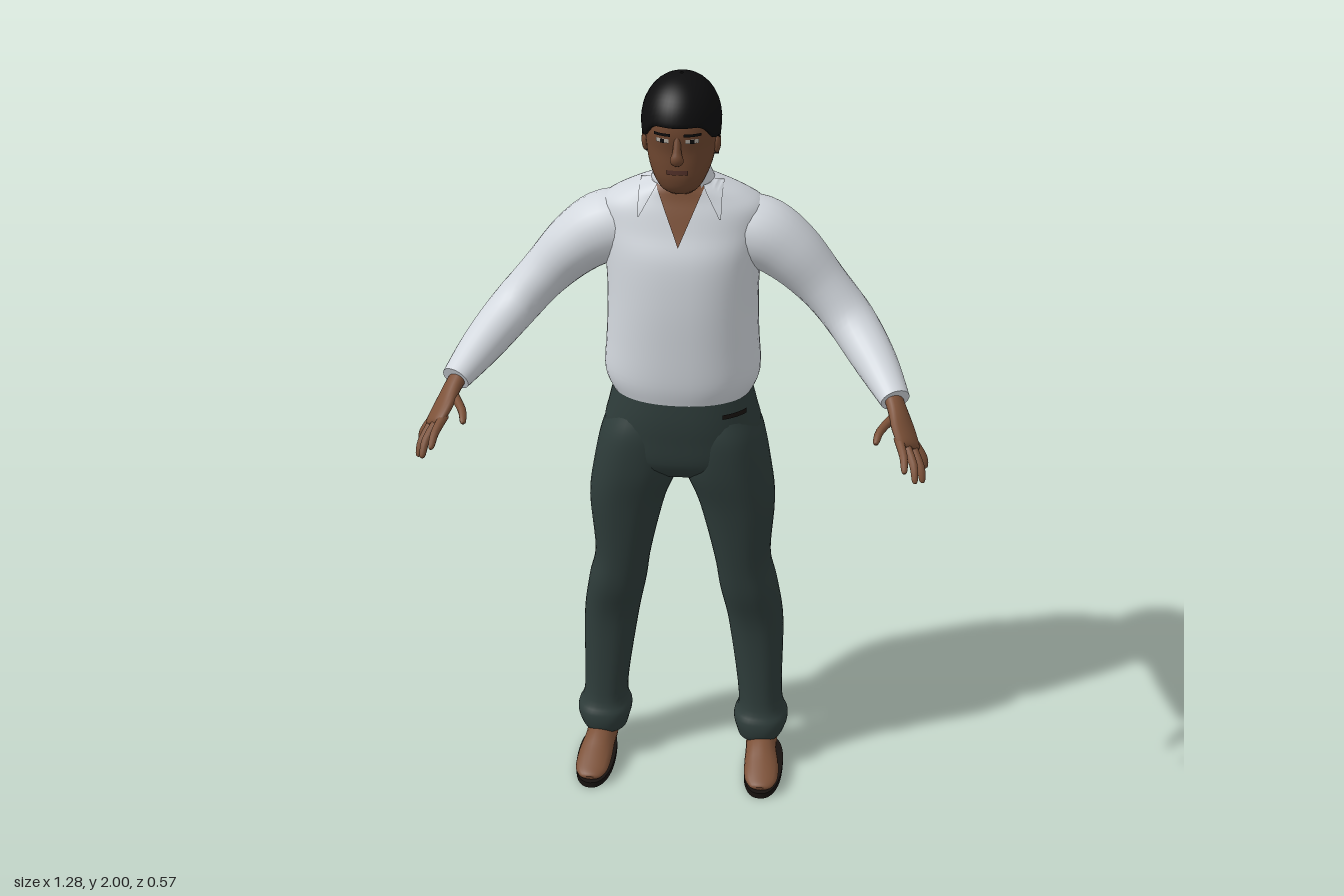
import * as THREE from 'three';

const mat = (name, color, side = THREE.FrontSide) => {
  const m = new THREE.MeshStandardMaterial({ color, side });
  m.name = name;
  return m;
};
const M = {
  shirt: mat('shirt white', 0xd2d7dd, THREE.DoubleSide),
  trousers: mat('trouser green grey', 0x2e3c3a),
  skin: mat('skin brown', 0x7c5138),
  face: mat('face brown', 0x6f4730),
  lip: mat('lip brown', 0x55322a),
  hair: mat('hair black', 0x0d0d0e, THREE.DoubleSide),
  sole: mat('sole black', 0x17120f),
  eye: mat('eye white', 0xb9b2a8),
};

const V = (x, y, z) => new THREE.Vector3(x, y, z);

// Catmull-Rom smoothing of every column of a table of rows
function smooth(rows, n = 5) {
  const out = [];
  const at = (i) => rows[Math.max(0, Math.min(rows.length - 1, i))];
  for (let i = 0; i < rows.length - 1; i++) {
    for (let j = 0; j < n; j++) {
      const t = j / n;
      out.push(rows[i].map((b, k) => {
        const a = at(i - 1)[k], c = at(i + 1)[k], d = at(i + 2)[k];
        return b + 0.5 * t * (c - a + t * (2 * a - 5 * b + 4 * c - d + t * (3 * (b - c) + d - a)));
      }));
    }
  }
  out.push(rows[rows.length - 1]);
  return out;
}

// Skin a list of closed rings; both ends are capped with their own vertices
function loft(name, material, rings, caps = true) {
  const n = rings[0].length, pos = [], idx = [];
  rings.forEach((r) => r.forEach((p) => pos.push(p.x, p.y, p.z)));
  for (let i = 0; i < rings.length - 1; i++) {
    for (let j = 0; j < n; j++) {
      const a = i * n + j, b = i * n + (j + 1) % n;
      idx.push(a, a + n, b, b, a + n, b + n);
    }
  }
  if (caps) {
    [rings[0], rings[rings.length - 1]].forEach((r, end) => {
      const base = pos.length / 3, c = V(0, 0, 0);
      r.forEach((p) => { pos.push(p.x, p.y, p.z); c.addScaledVector(p, 1 / n); });
      pos.push(c.x, c.y, c.z);
      for (let j = 0; j < n; j++) {
        const a = base + j, b = base + (j + 1) % n;
        idx.push(base + n, end ? b : a, end ? a : b);
      }
    });
  }
  const g = new THREE.BufferGeometry();
  g.setAttribute('position', new THREE.Float32BufferAttribute(pos, 3));
  g.setIndex(idx);
  g.computeVertexNormals();
  const mesh = new THREE.Mesh(g, material);
  mesh.name = name;
  return mesh;
}

// Upright form from rows [y, xMin, xMax, zFront, zBack], superellipse sections
const P = 2.3;
const sgnPow = (v) => Math.sign(v) * Math.abs(v) ** (2 / P);
function body(name, material, rows, n = 36) {
  return loft(name, material, rows.map(([y, x0, x1, zf, zb]) =>
    Array.from({ length: n }, (_, j) => {
      const a = (j / n) * Math.PI * 2;
      return V((x0 + x1) / 2 + (x1 - x0) / 2 * sgnPow(Math.cos(a)), y,
        (zf + zb) / 2 + (zf - zb) / 2 * sgnPow(Math.sin(a)));
    })));
}

// Limb along rows [x, y, z, halfWidth, halfThickness]; ref points along the thickness
function limb(name, material, rows, ref = V(0, 1, 0), n = 18, steps = 5) {
  const pts = smooth(rows, steps);
  return loft(name, material, pts.map(([x, y, z, ra, rb], i) => {
    const p = pts[Math.max(0, i - 1)], q = pts[Math.min(pts.length - 1, i + 1)];
    const T = V(q[0] - p[0], q[1] - p[1], q[2] - p[2]).normalize();
    const A = ref.clone().cross(T).normalize(), B = A.clone().cross(T);
    return Array.from({ length: n }, (_, j) => {
      const a = (j / n) * Math.PI * 2;
      return V(x, y, z).addScaledVector(A, Math.cos(a) * ra).addScaledVector(B, Math.sin(a) * rb);
    });
  }));
}

// Thin patch lying on the front of a body form, between x = left(y) and right(y)
function patch(name, material, rows, y0, y1, left, right, off) {
  const g = new THREE.PlaneGeometry(1, 1, 8, 14), p = g.attributes.position;
  for (let i = 0; i < p.count; i++) {
    const y = y0 + (y1 - y0) * (p.getY(i) + 0.5);
    const x = left(y) + (right(y) - left(y)) * (p.getX(i) + 0.5);
    let k = rows.findIndex((r) => r[0] >= y);
    if (k < 1) k = 1;
    const t = (y - rows[k - 1][0]) / (rows[k][0] - rows[k - 1][0]);
    const [, , rx, zf, zb] = rows[k].map((v, c) => rows[k - 1][c] + (v - rows[k - 1][c]) * t);
    const u = Math.min(1, Math.abs(x / rx));
    p.setXYZ(i, x, y, (zf + zb) / 2 + (zf - zb) / 2 * (1 - u ** P) ** (1 / P) + off);
  }
  g.computeVertexNormals();
  const mesh = new THREE.Mesh(g, material);
  mesh.name = name;
  return mesh;
}

const centred = (rows) => smooth(rows.map(([y, r, f, b]) => [y, -r, r, f, b]));

export function createModel() {
  const model = new THREE.Group();
  model.name = 'standingMan';
  const add = (...m) => model.add(...m);

  // Shirt body with the open neckline
  const torso = centred([
    [1.145, 0.178, 0.02, -0.255], [1.2, 0.2, 0.03, -0.268], [1.3, 0.195, 0.032, -0.272],
    [1.42, 0.192, 0.03, -0.28], [1.53, 0.2, 0.018, -0.285], [1.6, 0.212, -0.008, -0.27],
    [1.65, 0.205, -0.025, -0.245], [1.685, 0.16, -0.038, -0.215], [1.715, 0.095, -0.045, -0.19],
    [1.728, 0.06, -0.055, -0.165]]);
  add(body('shirtBody', M.shirt, torso, 48));
  const vEdge = (y) => (y - 1.575) * 0.42;
  add(patch('openNeckline', M.skin, torso, 1.575, 1.72, (y) => -vEdge(y), vEdge, 0.004));
  const collar = new THREE.Mesh(
    new THREE.CylinderGeometry(0.068, 0.09, 0.065, 32, 2, true, 0.75, Math.PI * 2 - 1.5), M.shirt);
  collar.name = 'collarStand';
  collar.position.set(0, 1.72, -0.108);
  collar.rotation.x = 0.25;
  add(collar);

  // Hips
  const hips = centred([
    [0.915, 0.12, -0.03, -0.2], [0.96, 0.2, 0.012, -0.235], [1.04, 0.205, 0.022, -0.265],
    [1.1, 0.192, 0.024, -0.262], [1.17, 0.175, 0.018, -0.25]]);
  add(body('trouserHips', M.trousers, hips, 48));
  add(patch('beltClip', M.sole, hips, 1.108, 1.12, () => 0.115, () => 0.172, 0.006));

  // Head and neck
  const head = centred([
    [1.705, 0.035, -0.03, -0.12], [1.725, 0.052, 0.002, -0.135], [1.755, 0.068, 0.014, -0.15],
    [1.79, 0.08, 0.016, -0.172], [1.83, 0.086, 0.016, -0.182], [1.88, 0.089, 0.022, -0.187],
    [1.93, 0.08, 0.008, -0.175], [1.965, 0.045, -0.04, -0.12]]);
  add(body('head', M.face, head));
  add(body('neck', M.skin, centred([
    [1.62, 0.07, -0.05, -0.17], [1.7, 0.061, -0.042, -0.16], [1.77, 0.06, -0.04, -0.158]])));
  add(limb('nose', M.face, [[0, 1.868, 0.014, 0.008, 0.008], [0, 1.835, 0.024, 0.011, 0.011],
    [0, 1.815, 0.028, 0.017, 0.013], [0, 1.803, 0.016, 0.012, 0.008]], V(0, 0, 1)));
  add(patch('mouth', M.lip, head, 1.773, 1.785, () => -0.026, () => 0.026, 0.003));

  // Hair cap: low at the nape, high over the forehead
  const hairRings = [];
  for (let i = 13; i >= 0; i--) {
    const t = Math.min(1, (i + 0.15) / 12);
    hairRings.push(Array.from({ length: 48 }, (_, j) => {
      const a = (j / 48) * Math.PI * 2, f = Math.sin(a);
      const low = 1.79 + 0.065 * THREE.MathUtils.smoothstep(f, -0.08, 0.2)
        + 0.045 * THREE.MathUtils.smoothstep(f, 0.4, 0.9);
      const y = 2 - (2 - low) * t ** 1.7;
      let r = y > 1.88 ? Math.sqrt(Math.max(0, 1 - ((y - 1.88) / 0.12) ** 2.2)) : 1 - (1.88 - y) * 0.9;
      if (i === 13) r *= 0.82;
      return V(Math.cos(a) * 0.099 * r, y, -0.082 + f * 0.122 * r);
    }));
  }
  add(loft('hair', M.hair, hairRings, false));

  for (const s of [1, -1]) {
    const side = s > 0 ? 'left' : 'right';
    const mx = (rows) => rows.map(([x, ...rest]) => [x * s, ...rest]);
    // Patch mirrored to this side, given inner and outer edges
    const sidePatch = (name, m, rows, y0, y1, inner, outer, off) => add(patch(side + name, m, rows, y0, y1,
      (y) => (s > 0 ? inner(y) : -outer(y)), (y) => (s > 0 ? outer(y) : -inner(y)), off));

    // Face details
    sidePatch('Eyebrow', M.hair, head, 1.874, 1.881, () => 0.016, () => 0.058, 0.004);
    sidePatch('Eye', M.eye, head, 1.856, 1.867, () => 0.021, () => 0.052, 0.003);
    sidePatch('Iris', M.hair, head, 1.856, 1.867, () => 0.031, () => 0.042, 0.005);
    const ear = new THREE.Mesh(new THREE.SphereGeometry(1, 14, 10), M.face);
    ear.name = side + 'Ear';
    ear.scale.set(0.01, 0.029, 0.018);
    ear.position.set(s * 0.088, 1.83, -0.075);
    add(ear);

    // Collar flap
    sidePatch('CollarFlap', M.shirt, torso, 1.645, 1.722,
      (y) => 0.1 - (y - 1.645) * 0.56, () => 0.104, 0.012);

    // Sleeve
    add(limb(side + 'Sleeve', M.shirt, mx([
      [0.1, 1.58, -0.135, 0.085, 0.085], [0.19, 1.572, -0.135, 0.095, 0.092],
      [0.27, 1.523, -0.133, 0.087, 0.081], [0.355, 1.437, -0.125, 0.068, 0.065],
      [0.43, 1.355, -0.095, 0.064, 0.06], [0.5, 1.285, 0, 0.054, 0.052],
      [0.552, 1.235, 0.1, 0.038, 0.034]]), V(0, 1, 0), 24));

    // Hand with four fingers and a thumb
    const palmUp = V(0.0057 * s, 0.00505, 0.00185).normalize();
    add(limb(side + 'Palm', M.skin, mx([
      [0.54, 1.245, 0.075, 0.026, 0.022], [0.558, 1.218, 0.115, 0.031, 0.02],
      [0.575, 1.185, 0.155, 0.042, 0.018], [0.59, 1.16, 0.19, 0.041, 0.015],
      [0.594, 1.152, 0.2, 0.03, 0.008]]), palmUp));
    const fingers = {
      Thumb: [[0.55, 1.205, 0.135], [0.52, 1.195, 0.195], [0.51, 1.178, 0.235]],
      IndexFinger: [[0.565, 1.178, 0.195], [0.58, 1.155, 0.245], [0.585, 1.128, 0.285]],
      MiddleFinger: [[0.582, 1.164, 0.192], [0.605, 1.13, 0.238], [0.612, 1.093, 0.268]],
      RingFinger: [[0.598, 1.152, 0.178], [0.622, 1.112, 0.21], [0.63, 1.075, 0.228]],
      LittleFinger: [[0.602, 1.15, 0.155], [0.627, 1.115, 0.163], [0.635, 1.083, 0.163]],
    };
    for (const [name, [a, b, c]] of Object.entries(fingers)) {
      const near = c.map((v, k) => v + (b[k] - v) * 0.2);
      add(limb(side + name, M.skin, mx([[...a, 0.012, 0.012], [...b, 0.0105, 0.0105],
        [...near, 0.008, 0.008], [...c, 0.003, 0.003]]), palmUp, 10, 3));
    }

    // Trouser leg with a loose cuff
    const leg = smooth([
      [0.085, 0.155, 0.275, -0.055, -0.205], [0.105, 0.15, 0.284, -0.046, -0.212],
      [0.14, 0.143, 0.291, -0.046, -0.21], [0.2, 0.155, 0.273, -0.065, -0.208],
      [0.42, 0.125, 0.272, -0.07, -0.23], [0.55, 0.1, 0.255, -0.043, -0.225],
      [0.65, 0.085, 0.235, -0.03, -0.22], [0.82, 0.045, 0.245, -0.008, -0.215],
      [0.93, 0.004, 0.232, 0.01, -0.235], [1.03, 0.005, 0.21, 0.014, -0.255],
      [1.09, 0.02, 0.18, 0, -0.24]]);
    add(body(side + 'TrouserLeg', M.trousers,
      leg.map(([y, a, b, f, k]) => [y, s > 0 ? a : -b, s > 0 ? b : -a, f, k])));

    // Foot on a flat sole
    add(limb(side + 'Foot', M.skin, mx([
      [0.222, 0.04, -0.193, 0.018, 0.018], [0.222, 0.047, -0.175, 0.034, 0.032],
      [0.222, 0.058, -0.12, 0.042, 0.045], [0.224, 0.058, -0.06, 0.042, 0.044],
      [0.23, 0.045, 0, 0.047, 0.032], [0.233, 0.035, 0.05, 0.044, 0.02],
      [0.233, 0.03, 0.078, 0.03, 0.012], [0.233, 0.028, 0.086, 0.015, 0.006]])));
    const [x0, x1] = s > 0 ? [0.18, 0.285] : [-0.285, -0.18];
    add(body(side + 'Sole', M.sole, [[0, x0, x1, 0.092, -0.192], [0.016, x0, x1, 0.092, -0.192]]));
  }
  return model;
}
